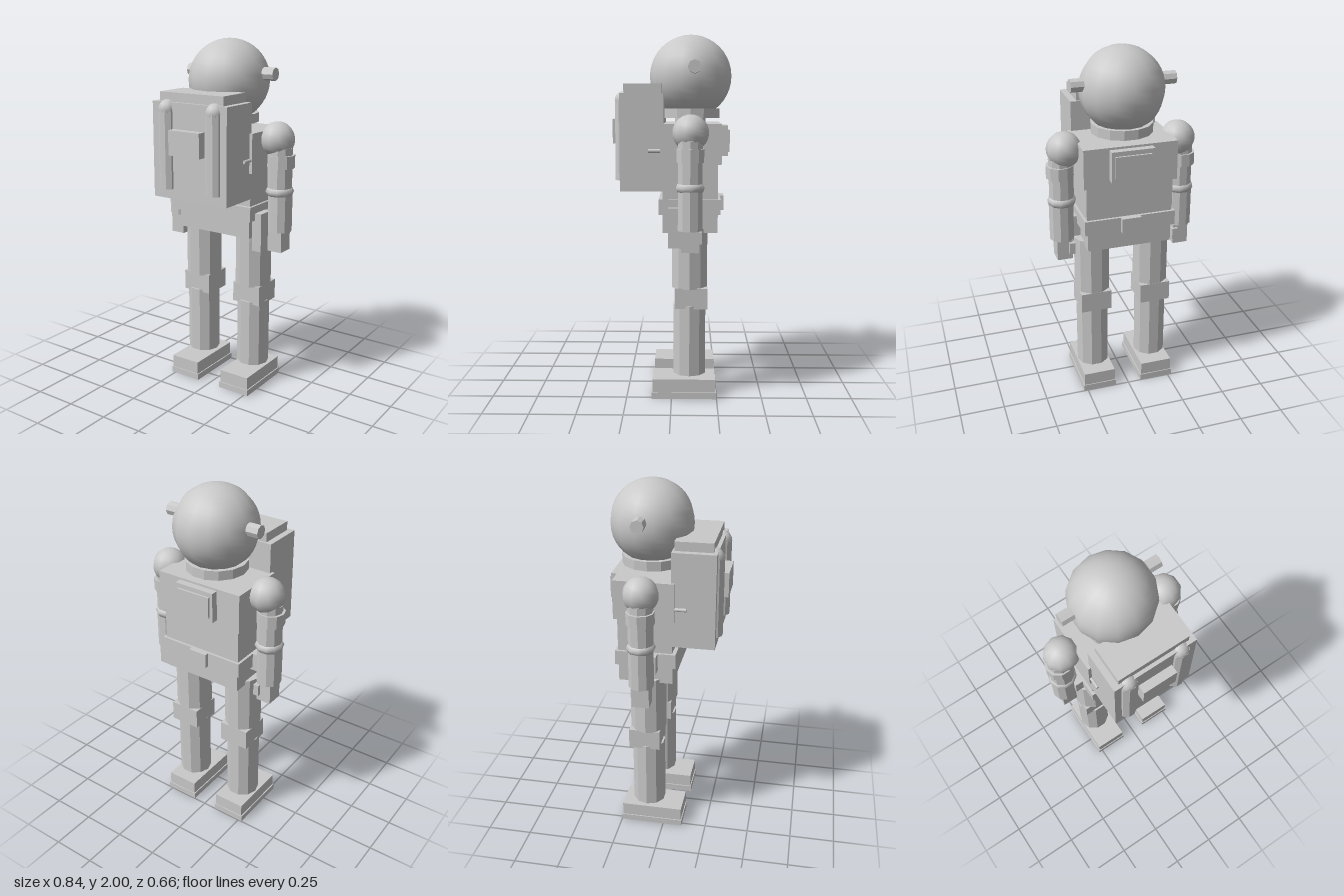
import * as THREE from 'three';

export function createModel() {
  const root = new THREE.Group();
  root.name = 'astronaut';
  const suitGrey = new THREE.MeshStandardMaterial({ color: 0xc9c9c9 });
  suitGrey.name = 'suitGrey';

  function add(name, geometry, x = 0, y = 0, z = 0) {
    const mesh = new THREE.Mesh(geometry, suitGrey);
    mesh.name = name;
    mesh.position.set(x, y, z);
    root.add(mesh);
    return mesh;
  }
  // Box given by its limits on each axis
  function box(name, x0, x1, y0, y1, z0, z1) {
    return add(name, new THREE.BoxGeometry(x1 - x0, y1 - y0, z1 - z0),
      (x0 + x1) / 2, (y0 + y1) / 2, (z0 + z1) / 2);
  }
  function faceted(geometry) {
    const g = geometry.toNonIndexed();
    g.computeVertexNormals();
    return g;
  }
  // Upright faceted column with corners on the x axis
  function column(name, x, z, r, y0, y1, sides = 10) {
    const g = faceted(new THREE.CylinderGeometry(r, r, y1 - y0, sides)).rotateY(Math.PI / 2);
    return add(name, g, x, (y0 + y1) / 2, z);
  }

  // Helmet and neck
  add('helmet', new THREE.SphereGeometry(0.227, 14, 20).rotateY(Math.PI / 2), 0, 1.773, -0.102);
  column('neckRing', 0, -0.1, 0.168, 1.545, 1.597, 14);
  column('neck', 0, -0.1, 0.085, 1.5, 1.56, 12);

  // Torso
  box('chest', -0.257, 0.257, 1.3, 1.517, -0.268, 0.062);
  box('abdomen', -0.24, 0.24, 1.1, 1.3, -0.25, 0.048);
  box('belt', -0.254, 0.254, 1.03, 1.112, -0.265, 0.069);
  box('beltBuckle', -0.055, 0.055, 1.03, 1.112, -0.289, -0.26);
  box('hips', -0.235, 0.235, 0.928, 1.03, -0.25, 0.05);
  box('chestPanel', -0.118, 0.118, 1.337, 1.505, -0.307, -0.26);
  box('chestScreen', -0.1, 0.1, 1.36, 1.48, -0.318, -0.3);
  box('holster', 0.235, 0.293, 0.852, 1.07, -0.09, 0.018);
  box('hipPouch', -0.3, -0.235, 1.01, 1.112, -0.13, -0.03);

  // Life support pack
  box('pack', -0.24, 0.24, 1.155, 1.68, 0.042, 0.278);
  box('packCap', -0.205, 0.205, 1.675, 1.73, 0.053, 0.258);
  box('packControlBox', -0.1, 0.1, 1.405, 1.54, 0.27, 0.327);

  for (const s of [-1, 1]) {
    // Helmet lamps
    add('helmetLamp', faceted(new THREE.CylinderGeometry(0.036, 0.036, 0.07, 8)).rotateZ(Math.PI / 2),
      s * 0.249, 1.816, -0.123);

    // Oxygen tanks with round tops, and hoses
    column('oxygenTank', s * 0.154, 0.256, 0.053, 1.21, 1.64);
    add('tankDome', new THREE.SphereGeometry(0.053, 10, 10).rotateY(Math.PI / 2), s * 0.154, 1.64, 0.256);
    add('hose', new THREE.CylinderGeometry(0.01, 0.01, 0.09, 8).rotateX(Math.PI / 2), s * 0.245, 1.373, 0.08);

    // Arms
    add('shoulder', new THREE.SphereGeometry(0.096, 10, 14).rotateY(Math.PI / 2), s * 0.317, 1.472, -0.102);
    column('upperArm', s * 0.337, -0.1, 0.068, 1.18, 1.43);
    column('armBand', s * 0.343, -0.1, 0.076, 1.32, 1.39);
    add('elbow', new THREE.TorusGeometry(0.05, 0.029, 8, 10).rotateX(Math.PI / 2), s * 0.338, 1.185, -0.1);
    column('forearm', s * 0.342, -0.1, 0.068, 0.96, 1.18);
    box('hand', s * 0.338 - 0.043, s * 0.338 + 0.043, 0.845, 0.962, -0.148, -0.052);
    box('thumb', s * 0.3 - 0.016, s * 0.3 + 0.016, 0.88, 0.945, -0.165, -0.13);

    // Legs
    column('thigh', s * 0.174, -0.098, 0.102, 0.62, 0.95);
    box('knee', s * 0.175 - 0.088, s * 0.175 + 0.088, 0.51, 0.625, -0.196, -0.02);
    column('shin', s * 0.177, -0.098, 0.093, 0.13, 0.525);

    // Boots
    box('boot', s * 0.175 - 0.092, s * 0.175 + 0.092, 0.03, 0.11, -0.243, 0.105);
    box('sole', s * 0.175 - 0.098, s * 0.175 + 0.098, 0, 0.036, -0.248, 0.11);
  }
  return root;
}
